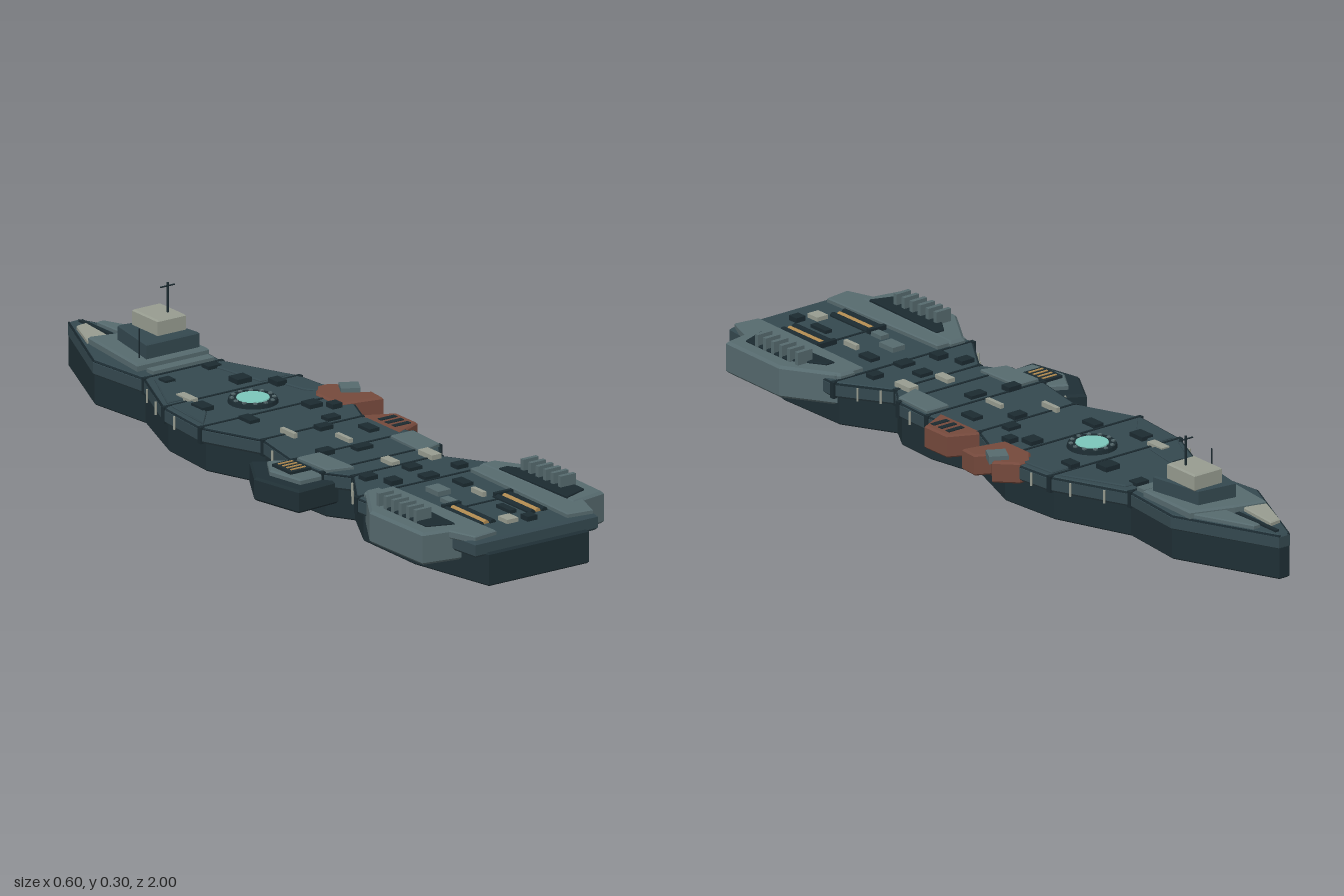
import * as THREE from 'three';

const C = {
  hull: 0x1f2f35, deck: 0x34484f, dark: 0x1b2a30, grey: 0x566a6e,
  pale: 0x979c90, rust: 0x75493c, glow: 0x7cc6ba, amber: 0xb08a50,
};
const MID = 0.013; // the hull centreline sits slightly off x = 0
const mats = {};
const mat = (c) => (mats[c] ??= new THREE.MeshStandardMaterial({ color: C[c], flatShading: true }));

export function createModel() {
  const root = new THREE.Group();
  root.name = 'spaceship';

  const add = (name, geo, color, x = 0, y = 0, z = 0) => {
    const m = new THREE.Mesh(geo, mat(color));
    m.name = name;
    m.position.set(x, y, z);
    root.add(m);
    return m;
  };
  const box = (name, color, x, y, z, w, h, d) => add(name, new THREE.BoxGeometry(w, h, d), color, x, y, z);
  // Upright chamfered prism over an [x, z] outline
  const prism = (name, color, pts, y0, y1, b = 0.006) => {
    const shape = new THREE.Shape(pts.map(([x, z]) => new THREE.Vector2(x, -z)));
    const geo = new THREE.ExtrudeGeometry(shape, {
      depth: y1 - y0 - 2 * b, bevelEnabled: b > 0, bevelThickness: b, bevelSize: b, bevelOffset: -b, bevelSegments: 1,
    });
    geo.rotateX(-Math.PI / 2);
    return add(name, geo, color, 0, y0 + b, 0);
  };
  const side = (s, pts) => pts.map(([x, z]) => [MID + s * x, z]);
  const rect = (x0, x1, z0, z1) => [[x0, z0], [x1, z0], [x1, z1], [x0, z1]];
  const rod = (name, color, r, from, to, n = 6) => {
    const a = new THREE.Vector3(...from), b = new THREE.Vector3(...to);
    const m = add(name, new THREE.CylinderGeometry(r, r, a.distanceTo(b), n), color);
    m.position.copy(a).add(b).multiplyScalar(0.5);
    m.quaternion.setFromUnitVectors(new THREE.Vector3(0, 1, 0), b.sub(a).normalize());
    return m;
  };

  // Hull stations: z, deck half width, lower hull half width
  const stations = [
    [-1, 0.018, 0.016], [-0.72, 0.142, 0.137], [-0.53, 0.122, 0.117], [-0.32, 0.213, 0.196],
    [-0.14, 0.23, 0.21], [0.03, 0.158, 0.148], [0.2, 0.19, 0.178], [0.32, 0.185, 0.172],
    [0.39, 0.138, 0.13], [0.53, 0.228, 0.205], [0.75, 0.215, 0.208], [0.99, 0.19, 0.155],
  ];
  const outline = (k) => [
    ...stations.map((s) => [MID + s[k], s[0]]),
    ...stations.slice().reverse().map((s) => [MID - s[k], s[0]]),
  ];
  const low = outline(2);
  low[11][1] = low[12][1] = 1;
  prism('lowerHull', 'hull', low, 0, 0.088, 0.004);
  prism('upperHull', 'deck', outline(1), 0.078, 0.121, 0.007);

  // Frame ribs across the deck and down the flanks at each station
  stations.slice(2, 11).forEach(([z, w]) => {
    box('deckSeam', 'dark', MID, 0.121, z, 2 * w - 0.014, 0.004, 0.007);
    for (const s of [-1, 1]) box('flankRib', 'dark', MID + s * (w - 0.004), 0.1, z, 0.012, 0.044, 0.014);
  });
  // Dark trim lines along the deck edge
  for (const s of [-1, 1]) {
    for (let i = 0; i < stations.length - 2; i++) {
      const [a, b] = [stations[i], stations[i + 1]];
      rod('edgeTrim', 'dark', 0.004, [MID + s * (a[1] - 0.004), 0.116, a[0]], [MID + s * (b[1] - 0.004), 0.116, b[0]], 4);
    }
    // Small posts standing off the flanks
    for (const [z, w] of [[-0.47, 0.155], [-0.38, 0.193], [-0.26, 0.222], [0.1, 0.178], [0.26, 0.195], [0.42, 0.16], [0.47, 0.195]])
      rod('flankPost', 'pale', 0.003, [MID + s * w, 0.08, z], [MID + s * w, 0.115, z]);
  }

  // Raised armour plates along the deck edges
  const plates = [
    ['deckPlateFore', [[0.07, -0.5], [0.11, -0.5], [0.19, -0.335], [0.1, -0.335]], 0.126, 'deck'],
    ['deckPlateMid', [[0.13, -0.31], [0.195, -0.31], [0.21, -0.15], [0.15, -0.22]], 0.126, 'deck'],
    ['deckPlateWaist', [[0.11, 0.21], [0.18, 0.21], [0.175, 0.33], [0.105, 0.35]], 0.13, 'grey'],
    ['deckPlateRear', [[0.12, 0.54], [0.21, 0.54], [0.21, 0.9], [0.182, 0.98], [0.11, 0.97]], 0.133, 'grey'],
  ];
  for (const s of [-1, 1]) for (const [n, p, y, c] of plates) prism(n, c, side(s, p), 0.112, y, 0.003);

  // Rear engine pods with louvred tops
  for (const s of [-1, 1]) {
    prism('rearPod', 'grey', side(s, [[0.155, 0.53], [0.2, 0.53], [0.287, 0.67], [0.282, 0.89], [0.172, 0.91]]), 0.05, 0.136, 0.007);
    prism('podGrille', 'dark', side(s, [[0.165, 0.6], [0.19, 0.6], [0.247, 0.69], [0.245, 0.855], [0.175, 0.88]]), 0.13, 0.141, 0.002);
    for (let i = 0; i < 6; i++) box('podFin', 'grey', MID + s * 0.224, 0.153, 0.65 + i * 0.032, 0.047, 0.034, 0.012);
    box('podSkirt', 'dark', MID + s * 0.2, 0.075, 0.76, 0.07, 0.04, 0.24);
  }

  // Twin pipes on the rear deck
  for (const s of [-1, 1]) {
    const x = MID + s * 0.08;
    rod('amberPipe', 'amber', 0.008, [x, 0.122, 0.73], [x, 0.122, 0.885], 10);
    for (const d of [-0.02, 0.017]) rod('darkPipe', 'dark', 0.009, [x + d, 0.122, 0.73], [x + d, 0.122, 0.89], 10);
    box('pipeClamp', 'dark', x, 0.124, 0.735, 0.055, 0.02, 0.012);
  }

  // Side module on the right flank
  prism('sideModule', 'hull', [[-0.235, 0.1], [-0.13, 0.16], [-0.13, 0.35], [-0.27, 0.36], [-0.3, 0.21]], 0.04, 0.102, 0.006);
  prism('sideModulePlate', 'grey', [[-0.22, 0.155], [-0.14, 0.2], [-0.14, 0.325], [-0.24, 0.325], [-0.26, 0.22]], 0.098, 0.116, 0.004);
  box('sideModuleVent', 'dark', -0.205, 0.117, 0.24, 0.065, 0.012, 0.08);
  for (let i = 0; i < 4; i++) box('ventSlat', 'amber', -0.205, 0.123, 0.213 + i * 0.018, 0.045, 0.004, 0.006);

  // Rust-coloured cargo modules on the left flank
  prism('rustModuleFore', 'rust', [[0.165, -0.17], [0.2, -0.215], [0.235, -0.215], [0.285, -0.165],
    [0.25, -0.12], [0.29, -0.1], [0.285, -0.045], [0.165, -0.07]], 0.07, 0.127, 0.005);
  box('rustModuleHatch', 'grey', 0.252, 0.128, -0.145, 0.05, 0.02, 0.05).rotation.y = -0.5;
  prism('rustModuleRear', 'rust', [[0.165, 0.02], [0.25, 0.06], [0.25, 0.15], [0.165, 0.19]], 0.06, 0.122, 0.005);
  for (let i = 0; i < 3; i++) box('rustModuleSlot', 'dark', 0.207, 0.122, 0.08 + i * 0.03, 0.05, 0.004, 0.015);

  // Round glowing window with a bolted ring
  add('windowRing', new THREE.CylinderGeometry(0.062, 0.066, 0.014, 24), 'dark', 0.01, 0.124, -0.225);
  add('windowGlass', new THREE.CylinderGeometry(0.042, 0.045, 0.01, 20), 'glow', 0.01, 0.129, -0.225);
  for (let i = 0; i < 12; i++) {
    const a = (i * Math.PI) / 6;
    box('ringBolt', 'grey', 0.01 + 0.054 * Math.cos(a), 0.132, -0.225 + 0.054 * Math.sin(a), 0.008, 0.006, 0.008);
  }

  // Bridge tower and its masts
  prism('bridgeBase', 'grey', [[-0.065, -0.83], [0.02, -0.81], [0.135, -0.77], [0.13, -0.58], [-0.093, -0.58], [-0.08, -0.7]], 0.115, 0.14, 0.005);
  prism('bridgeLower', 'deck', [[-0.02, -0.765], [0.09, -0.75], [0.115, -0.6], [-0.05, -0.6]], 0.136, 0.18, 0.004);
  prism('bridgeUpper', 'pale', rect(0.01, 0.098, -0.745, -0.635), 0.176, 0.221, 0.004);
  rod('mast', 'dark', 0.003, [0.07, 0.21, -0.675], [0.07, 0.3, -0.675]);
  rod('mastBar', 'dark', 0.002, [0.047, 0.291, -0.675], [0.092, 0.291, -0.675]);
  rod('antenna', 'dark', 0.002, [-0.058, 0.13, -0.62], [-0.058, 0.218, -0.62]);
  box('bridgeStep', 'grey', 0.02, 0.125, -0.55, 0.19, 0.012, 0.03);

  // Nose plates
  prism('nosePlatePale', 'pale', [[-0.025, -0.935], [0.008, -0.94], [-0.005, -0.81], [-0.068, -0.83]], 0.115, 0.132, 0.003);
  prism('nosePlateGrey', 'grey', [[0.035, -0.93], [0.055, -0.93], [0.13, -0.76], [0.04, -0.79]], 0.115, 0.132, 0.003);
  box('noseSpine', 'dark', 0.02, 0.12, -0.9, 0.012, 0.012, 0.16);

  // Deck fittings: colour, x, z, width, depth
  const fittings = [
    ['dark', 0.08, -0.5, 0.04, 0.03], ['dark', -0.08, -0.47, 0.03, 0.03], ['dark', 0.075, -0.37, 0.045, 0.04],
    ['pale', -0.115, -0.335, 0.025, 0.06], ['dark', -0.125, -0.255, 0.035, 0.05], ['dark', 0.14, -0.3, 0.03, 0.04],
    ['dark', -0.085, -0.11, 0.03, 0.05], ['dark', 0.11, -0.11, 0.04, 0.04], ['dark', 0.15, -0.07, 0.03, 0.03],
    ['dark', 0.09, 0, 0.04, 0.03], ['dark', 0.03, 0.05, 0.04, 0.03], ['pale', -0.07, 0.04, 0.012, 0.06],
    ['dark', 0.12, 0.12, 0.03, 0.05], ['pale', 0.022, 0.15, 0.012, 0.06], ['dark', -0.08, 0.21, 0.04, 0.03],
    ['dark', 0.02, 0.23, 0.05, 0.03], ['pale', 0.01, 0.365, 0.025, 0.05], ['pale', 0.122, 0.38, 0.03, 0.06],
    ['dark', 0.03, 0.43, 0.04, 0.035], ['dark', -0.105, 0.43, 0.04, 0.03], ['dark', -0.075, 0.495, 0.035, 0.035],
    ['dark', 0.025, 0.51, 0.045, 0.035], ['dark', 0.135, 0.49, 0.035, 0.03], ['grey', -0.025, 0.62, 0.04, 0.055],
    ['dark', 0.065, 0.6, 0.03, 0.05], ['grey', -0.05, 0.7, 0.025, 0.04], ['pale', 0.05, 0.69, 0.012, 0.05],
    ['dark', 0.035, 0.83, 0.02, 0.06], ['pale', -0.01, 0.9, 0.035, 0.04], ['dark', 0.04, 0.92, 0.03, 0.03],
  ];
  fittings.forEach(([c, x, z, w, d], i) => box('deckFitting', c, x, 0.123, z, w, 0.014 + (i % 3) * 0.004, d));

  return root;
}
